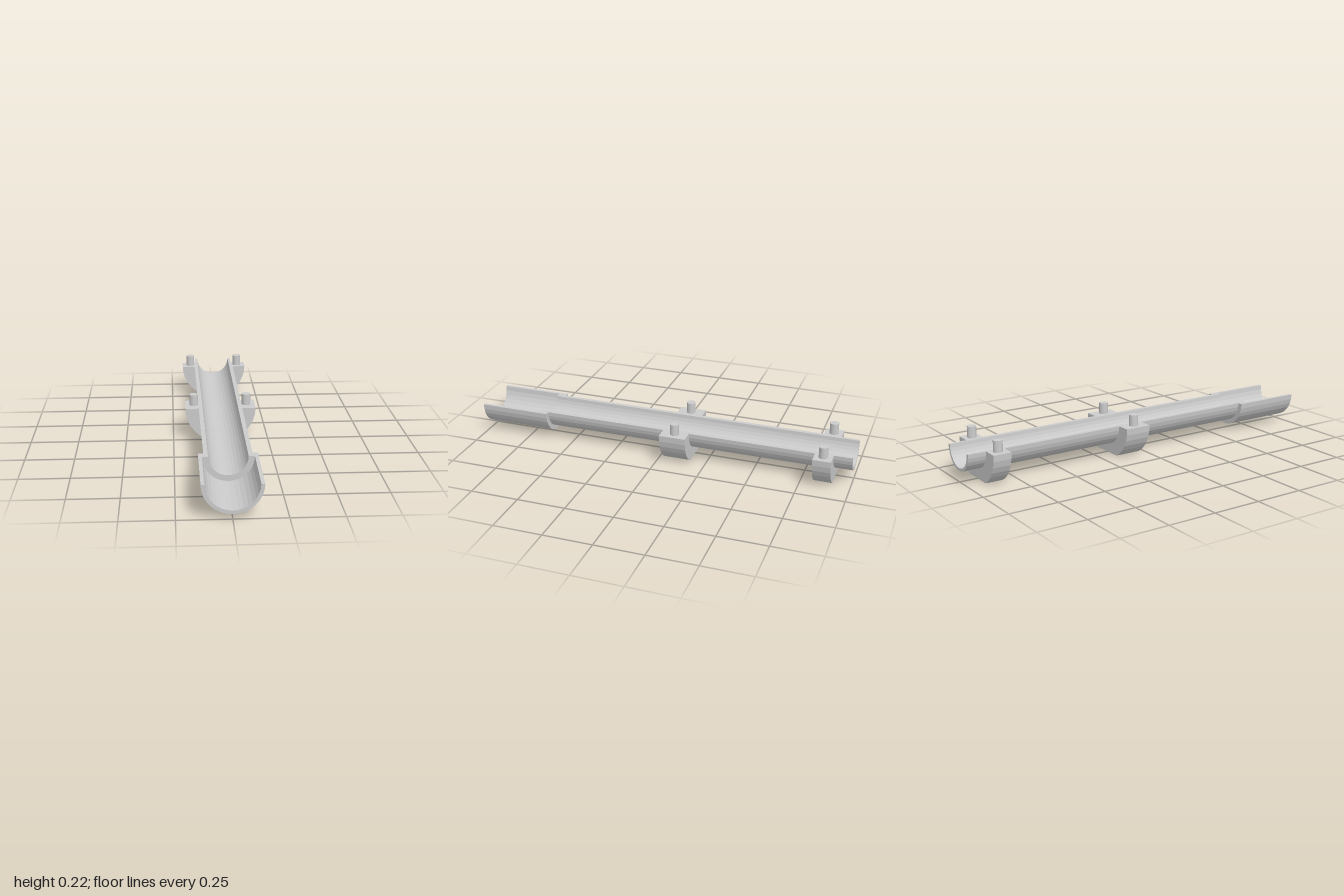
import * as THREE from 'three';

const AXIS_Y = 0.164; // height of the split plane and pipe axis
const INNER = 0.094;
const BARREL = 0.115;
const material = new THREE.MeshStandardMaterial({ color: 0xcccccc, flatShading: true });

// Points along an arc around the pipe axis
function arc(radius, from, to, segments) {
  return Array.from({ length: segments + 1 }, (_, i) => {
    const a = from + (to - from) * i / segments;
    return new THREE.Vector2(Math.cos(a) * radius, AXIS_Y + Math.sin(a) * radius);
  });
}

// Cross-section extruded along z from z0 to z1
function extrude(name, points, z0, z1) {
  const geometry = new THREE.ExtrudeGeometry(new THREE.Shape(points), { depth: z1 - z0, bevelEnabled: false });
  const mesh = new THREE.Mesh(geometry, material);
  mesh.name = name;
  mesh.position.z = z0;
  return mesh;
}

function halfPipe(name, inner, outer, z0, z1) {
  const points = [
    ...arc(outer, Math.PI, Math.PI * 2, 16),
    ...arc(inner, Math.PI * 2, Math.PI, 16),
  ];
  return extrude(name, points, z0, z1);
}

// Half collar with a flat foot and two locating pins
function bracket(name, z0, z1) {
  const group = new THREE.Group();
  group.name = name;
  const radius = 0.186;
  const foot = Math.asin(AXIS_Y / radius);
  const points = [
    ...arc(radius, Math.PI, Math.PI + foot, 6),
    ...arc(radius, Math.PI * 2 - foot, Math.PI * 2, 6),
    ...arc(BARREL, Math.PI * 2, Math.PI, 16),
  ];
  group.add(extrude('collar', points, z0, z1));

  for (const side of [-1, 1]) {
    const pin = new THREE.Mesh(new THREE.CylinderGeometry(0.023, 0.023, 0.068, 24), material);
    pin.name = side > 0 ? 'leftPin' : 'rightPin';
    pin.position.set(side * 0.14, 0.188, (z0 + z1) / 2);
    group.add(pin);
  }
  return group;
}

export function createModel() {
  const model = new THREE.Group();
  model.name = 'splitPipe';

  // Half pipe: wide socket in front, long barrel, reduced spigot behind
  model.add(
    halfPipe('socket', 0.123, 0.14, 0.67, 1),
    halfPipe('socketShoulder', INNER, 0.14, 0.627, 0.67),
    halfPipe('barrel', INNER, BARREL, -0.907, 0.627),
    halfPipe('spigot', INNER, 0.108, -1, -0.907),
  );

  // Supports
  model.add(bracket('middleBracket', -0.163, -0.025));
  model.add(bracket('rearBracket', -0.907, -0.815));
  return model;
}
